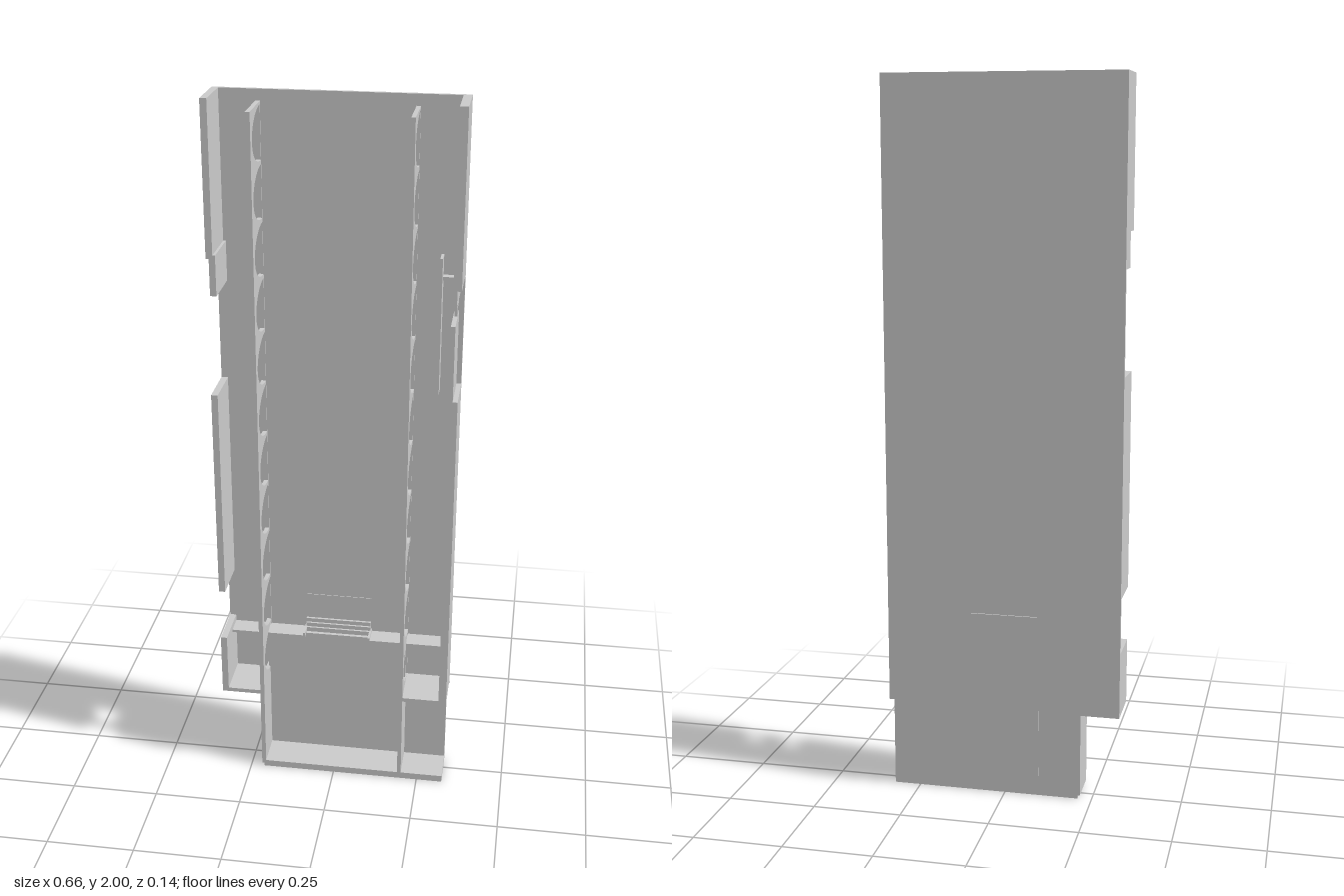
import * as THREE from 'three';

const material = new THREE.MeshStandardMaterial({ color: 0xcccccc, flatShading: true });

export function createModel() {
  const root = new THREE.Group();

  const add = (name, geometry) => {
    const mesh = new THREE.Mesh(geometry, material);
    mesh.name = name;
    root.add(mesh);
    return mesh;
  };

  // Box given by its limits on each axis
  const box = (name, x0, x1, y0, y1, z0, z1) =>
    add(name, new THREE.BoxGeometry(x1 - x0, y1 - y0, z1 - z0)
      .translate((x0 + x1) / 2, (y0 + y1) / 2, (z0 + z1) / 2));

  // Profile drawn as (z, y), extruded along x
  const extrudeX = (name, shape, x0, x1) => {
    const g = new THREE.ExtrudeGeometry(shape, { depth: x1 - x0, bevelEnabled: false, curveSegments: 10 });
    g.rotateY(-Math.PI / 2).scale(1, 1, 1).translate(x1, 0, 0);
    return add(name, g);
  };

  const BACK = -0.07, FACE = -0.06, FRONT = 0.07;

  // Main back panel
  box('backPanel', -0.33, 0.33, 0.265, 2, BACK, FACE);

  // Inner ribs with a column of rounded cable openings next to the panel
  const ribShape = () => {
    const s = new THREE.Shape();
    s.moveTo(-0.04, 0.01);
    s.lineTo(FRONT, 0.01);
    s.lineTo(FRONT, 1.97);
    s.lineTo(FACE, 1.97);
    s.lineTo(FACE, 0.27);
    s.lineTo(-0.04, 0.27);
    s.closePath();
    const pitch = 0.153, half = 0.071, base = -0.056;
    for (let i = 0; i < 11; i++) {
      const cy = 0.285 + pitch * (i + 0.5);
      const hole = new THREE.Path();
      hole.moveTo(base, cy - half);
      hole.absellipse(base, cy, 0.106, half, -Math.PI / 2, Math.PI / 2, false, 0);
      hole.closePath();
      s.holes.push(hole);
    }
    return s;
  };
  extrudeX('leftHandRib', ribShape(), -0.217, -0.205);
  extrudeX('rightHandRib', ribShape(), 0.192, 0.203);

  // Segmented outer wall on the -x side
  box('outerWallTop', -0.33, -0.312, 1.59, 2, FACE, FRONT);
  box('outerWallTongue', -0.322, -0.305, 1.49, 1.6, FACE, FRONT);
  box('outerWallMiddle', -0.33, -0.312, 0.6, 1.21, FACE, FRONT);
  box('outerWallBottom', -0.33, -0.312, 0.26, 0.445, FACE, FRONT);
  box('channelFloor', -0.33, -0.205, 0.26, 0.272, BACK, FRONT);

  // Outer wall on the +x side, with a recessed panel and an open slot
  box('sideWallTop', 0.308, 0.33, 1.535, 2, FACE, FRONT);
  box('sideWallLip', 0.308, 0.319, 1.49, 1.535, FACE, FRONT);
  box('sideWallRecess', 0.305, 0.317, 1.23, 1.44, FACE, FRONT);
  box('sideWallBottom', 0.308, 0.33, 0.275, 1.23, FACE, FRONT);
  box('channelFloor', 0.192, 0.33, 0.275, 0.287, BACK, FRONT);

  // Latch pocket behind the slot
  box('latchRail', 0.266, 0.273, 1.21, 1.59, FACE, -0.02);
  box('latchShelf', 0.273, 0.308, 1.525, 1.535, FACE, -0.04);
  for (const z of [-0.05, -0.02])
    box('slotPost', 0.308, 0.316, 1.44, 1.49, z, z + 0.012);

  // Cross shelves with small upturned ends
  for (const [x0, x1, tip] of [[-0.312, -0.098, -0.098], [0.093, 0.308, 0.093]]) {
    box('crossShelf', x0, x1, 0.418, 0.426, FACE, -0.005);
    box('shelfTip', tip - 0.003, tip + 0.003, 0.42, 0.434, FACE, -0.005);
  }

  // Tray at the bottom
  box('trayBack', -0.21, 0.2, 0, 0.42, -0.04, -0.03);
  box('trayBackSide', 0.2, 0.325, 0, 0.255, -0.04, -0.03);
  box('trayFloor', -0.21, 0.325, 0, 0.02, -0.04, FRONT);

  // Sliding flap: sheet behind the tray, stepped guide and top edge in the panel
  box('flapSheet', -0.098, 0.093, 0.06, 0.4, -0.045, -0.04);
  for (let i = 0; i < 3; i++)
    box('flapGuide', -0.098, 0.093, 0.42, 0.433 + i * 0.012, FACE, -0.041 - i * 0.006);
  box('flapEdge', -0.098, 0.093, 0.527, 0.537, -0.074, -0.058);

  return root;
}
